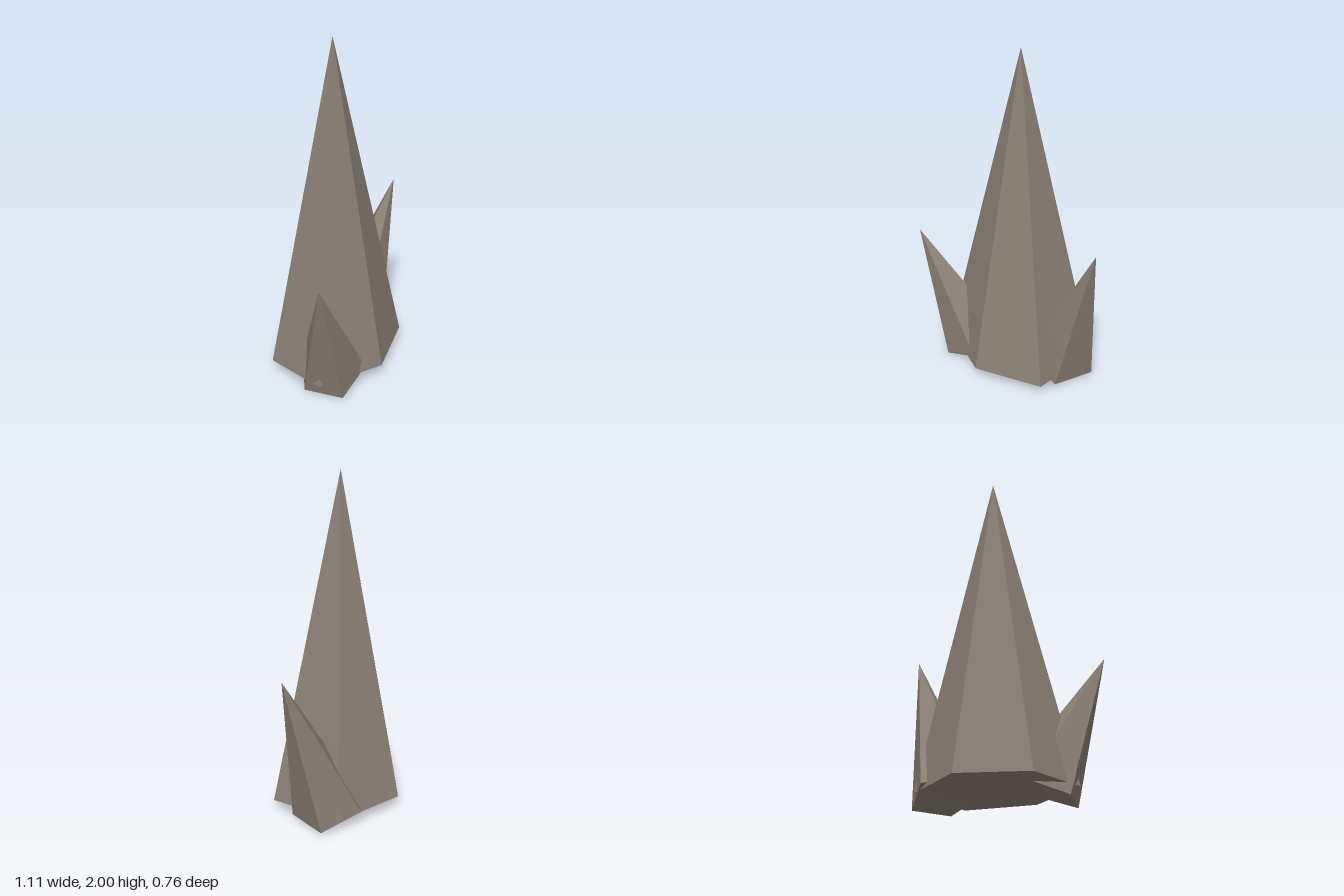
import * as THREE from 'three';

const stone = new THREE.MeshStandardMaterial({ color: 0x8a8075, flatShading: true });
stone.name = 'stone';

// A closed pointed shard: base corners run front -> +x -> back, joined to one tip
function shard(name, tip, ring) {
  const pos = [];
  ring.forEach((p, i) => {
    const q = ring[(i + 1) % ring.length];
    pos.push(...p, ...q, ...tip);                              // side facet
    if (i > 0 && i < ring.length - 1) pos.push(...ring[0], ...q, ...p); // underside
  });
  const geo = new THREE.BufferGeometry();
  geo.setAttribute('position', new THREE.Float32BufferAttribute(pos, 3));
  geo.computeVertexNormals();
  const mesh = new THREE.Mesh(geo, stone);
  mesh.name = name;
  return mesh;
}

export function createModel() {
  const group = new THREE.Group();
  group.name = 'rockSpikes';

  // Tall six-sided central spike on a level base
  const hex = [[-0.045, 0.377], [0.352, 0.235], [0.356, -0.208],
    [-0.048, -0.38], [-0.396, -0.165], [-0.435, 0.213]];
  group.add(shard('mainSpike', [-0.025, 2, 0], hex.map(([x, z]) => [x, 0.08, z])));

  // Five-sided side spikes leaning outward, with tilted bases
  group.add(shard('leftSpike', [0.555, 0.97, 0.027], [
    [0.35, 0.02, 0.107], [0.43, 0.015, -0.133], [0.238, 0.1, -0.287],
    [0.059, 0.151, -0.132], [0.108, 0.109, 0.106]]));
  group.add(shard('rightSpike', [-0.558, 0.81, 0.315], [
    [-0.436, 0.015, 0.11], [-0.35, 0, 0.32], [-0.123, 0.091, 0.315],
    [-0.05, 0.15, 0.075], [-0.274, 0.088, -0.039]]));

  return group;
}
